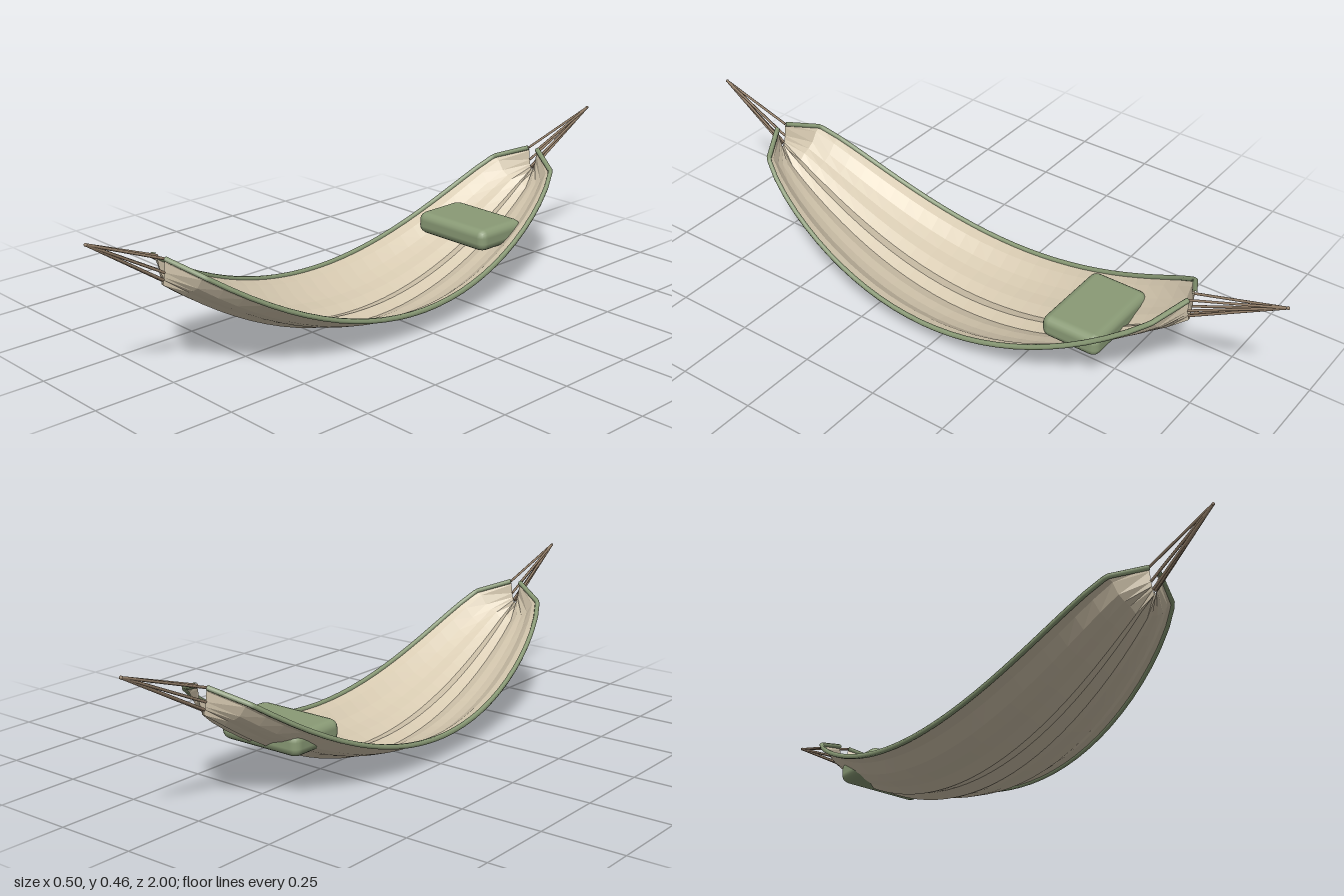
import * as THREE from 'three';
import { RoundedBoxGeometry } from 'three/addons/geometries/RoundedBoxGeometry.js';

const STATIONS = 28;   // cross-sections along the cloth
const FOLDS = 6;       // strips on each side of the centre line
const CENTRE_Z = 0.025;
const HALF_LENGTH = 0.745;
// height of the rippled cross-section from centre line to edge
const PROFILE = [0.015, 0.002, 0.018, 0.026, 0.04, 0.069, 0.08];

// point on the cloth: t runs -1..1 along its length, k runs -FOLDS..FOLDS across it
function clothPoint(t, k) {
  const halfWidth = 0.018 + 0.222 * Math.pow(Math.max(0, Math.cos(t * Math.PI / 2)), 0.35);
  return new THREE.Vector3(
    halfWidth * k / FOLDS,
    PROFILE[Math.abs(k)] + 0.288 * t * t,
    CENTRE_Z + HALF_LENGTH * t
  );
}

function clothGeometry() {
  const positions = [], index = [];
  const row = 2 * FOLDS + 1;
  for (let i = 0; i <= STATIONS; i++) {
    for (let k = -FOLDS; k <= FOLDS; k++) {
      positions.push(...clothPoint(2 * i / STATIONS - 1, k).toArray());
    }
  }
  for (let i = 0; i < STATIONS; i++) {
    for (let j = 0; j < row - 1; j++) {
      const a = i * row + j, b = a + 1, c = a + row, d = c + 1;
      index.push(a, c, b, b, c, d);
    }
  }
  const geometry = new THREE.BufferGeometry();
  geometry.setAttribute('position', new THREE.Float32BufferAttribute(positions, 3));
  geometry.setIndex(index);
  geometry.computeVertexNormals();
  return geometry;
}

// thin round rod between two points
function rod(from, to, radius, material, name) {
  const direction = to.clone().sub(from);
  const mesh = new THREE.Mesh(
    new THREE.CylinderGeometry(radius, radius, direction.length(), 6), material);
  mesh.position.copy(from).add(to).multiplyScalar(0.5);
  mesh.quaternion.setFromUnitVectors(new THREE.Vector3(0, 1, 0), direction.normalize());
  mesh.name = name;
  return mesh;
}

export function createModel() {
  const model = new THREE.Group();
  model.name = 'hammock';

  const canvas = new THREE.MeshStandardMaterial({ color: 0xd6c9b0, side: THREE.DoubleSide, flatShading: true });
  canvas.name = 'cream canvas';
  const green = new THREE.MeshStandardMaterial({ color: 0x8a9b76 });
  green.name = 'sage green';
  const rope = new THREE.MeshStandardMaterial({ color: 0x95806a });
  rope.name = 'brown rope';

  // hanging cloth
  const cloth = new THREE.Mesh(clothGeometry(), canvas);
  cloth.name = 'cloth';
  model.add(cloth);

  // piped hem along each long edge
  for (const side of [-1, 1]) {
    const path = new THREE.CurvePath();
    for (let i = 0; i < STATIONS; i++) {
      path.add(new THREE.LineCurve3(
        clothPoint(2 * i / STATIONS - 1, side * FOLDS),
        clothPoint(2 * (i + 1) / STATIONS - 1, side * FOLDS)));
    }
    const hem = new THREE.Mesh(new THREE.TubeGeometry(path, 120, 0.008, 6), green);
    hem.name = side > 0 ? 'leftHem' : 'rightHem';
    model.add(hem);
  }

  // cords gathered from each end of the cloth to a knot
  for (const end of [-1, 1]) {
    const cords = new THREE.Group();
    cords.name = end > 0 ? 'frontCords' : 'backCords';
    const tip = new THREE.Vector3(0, 0.458, end * 0.995);
    for (let k = -FOLDS; k <= FOLDS; k += 2) {
      cords.add(rod(clothPoint(end, k), tip, 0.004, rope, 'cord'));
    }
    const knot = new THREE.Mesh(new THREE.SphereGeometry(0.005, 8, 6), rope);
    knot.name = 'knot';
    knot.position.copy(tip);
    cords.add(knot);
    model.add(cords);
  }

  // pillow resting near the back end
  const pillow = new THREE.Mesh(new RoundedBoxGeometry(0.285, 0.07, 0.19, 2, 0.026), green);
  pillow.name = 'pillow';
  pillow.position.set(0, 0.172, -0.422);
  model.add(pillow);

  return model;
}
